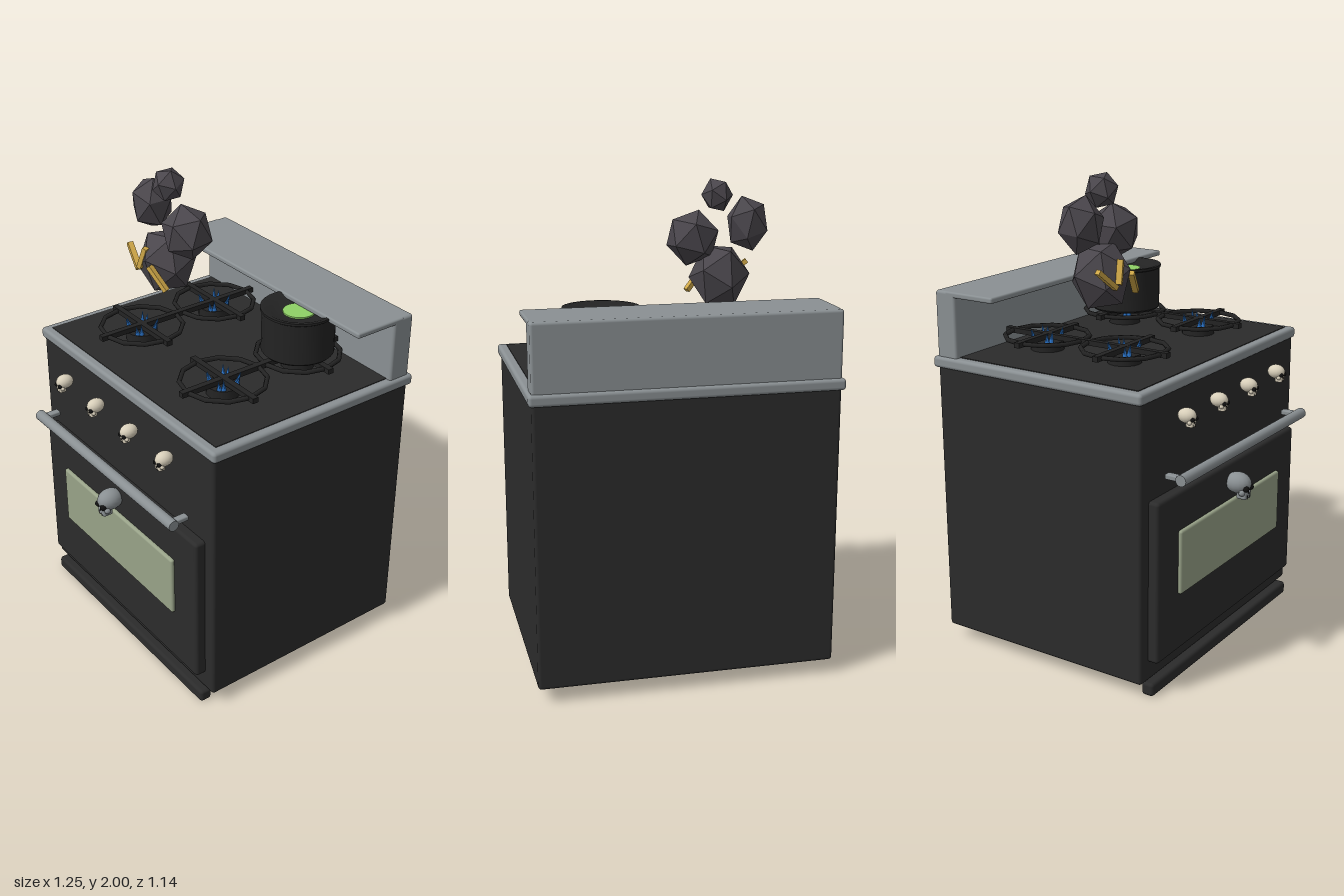
import * as THREE from 'three';
import { toCreasedNormals } from 'three/addons/utils/BufferGeometryUtils.js';
import { RoundedBoxGeometry } from 'three/addons/geometries/RoundedBoxGeometry.js';

const paint = (name, color, extra = {}) => {
  const m = new THREE.MeshStandardMaterial({ color, ...extra });
  m.name = name;
  return m;
};

export function createModel() {
  const black = paint('blackEnamel', 0x2b2b2b);
  const iron = paint('castIron', 0x232323);
  const steel = paint('steel', 0x8a9093);
  const glass = paint('windowGlass', 0x98a288);
  const bone = paint('bone', 0xd8cfba);
  const socket = paint('socketBlack', 0x111111);
  const smoke = paint('smoke', 0x4a464c, { flatShading: true });
  const gold = paint('gold', 0xd0a848);
  const blue = paint('flameBlue', 0x2f7fdc);
  const green = paint('brewGreen', 0x8fd066);

  const root = new THREE.Group();
  root.name = 'stove';

  const add = (parent, name, geo, mat, x = 0, y = 0, z = 0) => {
    const m = new THREE.Mesh(geo, mat);
    m.name = name;
    m.position.set(x, y, z);
    parent.add(m);
    return m;
  };
  const group = (name, x = 0, y = 0, z = 0) => {
    const g = new THREE.Group();
    g.name = name;
    g.position.set(x, y, z);
    root.add(g);
    return g;
  };
  // Rounded box given by its limits on each axis
  const block = (name, mat, [x0, x1], [y0, y1], [z0, z1], r) =>
    add(root, name, new RoundedBoxGeometry(x1 - x0, y1 - y0, z1 - z0, 2, r), mat,
      (x0 + x1) / 2, (y0 + y1) / 2, (z0 + z1) / 2);

  // Cabinet, door and trim
  block('body', black, [-0.613, 0.613], [0.06, 1.225], [-0.55, 0.432], 0.014);
  block('kickPlate', black, [-0.572, 0.572], [0, 0.056], [0.408, 0.462], 0.014);
  block('ovenDoor', black, [-0.56, 0.56], [0.143, 0.82], [0.42, 0.477], 0.014);
  block('ovenWindow', glass, [-0.412, 0.412], [0.39, 0.66], [0.46, 0.492], 0.01);
  block('topSlab', steel, [-0.626, 0.626], [1.213, 1.26], [-0.566, 0.44], 0.014);
  block('backsplash', steel, [-0.613, 0.613], [1.25, 1.532], [-0.55, -0.45], 0.012);
  block('shelf', steel, [-0.613, 0.613], [1.508, 1.532], [-0.5, -0.26], 0.008);
  add(root, 'cooktop', new THREE.BoxGeometry(1.18, 0.006, 0.856), black, 0, 1.26, -0.023);

  // Door handle
  add(root, 'handleBar', new THREE.CylinderGeometry(0.023, 0.023, 1.012, 16), steel, 0, 0.91, 0.54)
    .rotation.z = Math.PI / 2;
  for (const s of [-1, 1])
    block('handleBracket', steel, [s * 0.48 - 0.016, s * 0.48 + 0.016], [0.898, 0.92], [0.462, 0.54], 0.006);

  // Skull knobs and the door ornament
  const skull = (name, mat, x, y, z, s) => {
    const g = group(name, x, y, z);
    g.scale.setScalar(s);
    add(g, 'cranium', new THREE.SphereGeometry(1, 16, 12), mat, 0, 0.2, 0).scale.set(1, 0.98, 1.25);
    add(g, 'jaw', new RoundedBoxGeometry(1.1, 0.8, 1.0, 2, 0.2), mat, 0, -0.78, 0.55);
    for (const e of [-1, 1]) {
      add(g, 'eyeSocket', new THREE.SphereGeometry(0.3, 10, 8), socket, e * 0.42, -0.12, 1.02);
      add(g, 'cheek', new THREE.SphereGeometry(0.3, 8, 6), mat, e * 0.6, -0.5, 0.7);
      add(g, 'toothGap', new THREE.BoxGeometry(0.08, 0.35, 0.05), socket, e * 0.18, -0.95, 1.04);
    }
    add(g, 'noseHole', new THREE.ConeGeometry(0.15, 0.3, 3), socket, 0, -0.48, 1.06);
  };
  for (let i = 0; i < 4; i++) skull('skullKnob', bone, -0.37 + i * 0.245, 1.117, 0.484, 0.031);
  skull('doorSkull', steel, 0, 0.73, 0.512, 0.046);

  // Burners with flames and grates
  const ringGeo = new THREE.TorusGeometry(0.175, 0.01, 6, 12);
  for (const x of [-0.286, 0.286]) for (const z of [0.141, -0.24]) {
    const g = group('burner', x, 1.26, z);
    add(g, 'burnerCap', new THREE.CylinderGeometry(0.066, 0.07, 0.04, 16), iron, 0, 0.02, 0);
    add(g, 'grateRing', ringGeo, iron, 0, 0.06, 0).rotation.x = Math.PI / 2;
    add(g, 'grateBar', new THREE.BoxGeometry(0.41, 0.022, 0.026), iron, 0, 0.06, 0);
    add(g, 'grateBar', new THREE.BoxGeometry(0.026, 0.0215, 0.41), iron, 0, 0.06, 0);
    for (let i = 0; i < 4; i++) for (const [off, h] of [[-0.16, 0.06], [0.16, 0.05]]) {
      const a = Math.PI / 4 + i * Math.PI / 2 + off;
      const f = add(g, 'flame', new THREE.ConeGeometry(0.012, h, 5), blue,
        Math.cos(a) * 0.06, 0.035 + h / 2, Math.sin(a) * 0.06);
      f.rotation.set(Math.sin(a) * 0.3, 0, -Math.cos(a) * 0.3);
    }
  }

  // Pot with a sloping bowl and brew
  const pot = group('pot', 0.286, 1.332, -0.236);
  const profile = [[0, 0], [0.142, 0], [0.15, 0.008], [0.15, 0.18], [0.156, 0.184], [0.156, 0.194],
    [0.142, 0.194], [0.11, 0.178], [0.06, 0.17], [0, 0.17]].map(p => new THREE.Vector2(...p));
  add(pot, 'potShell', toCreasedNormals(new THREE.LatheGeometry(profile, 32), 0.6), iron);
  add(pot, 'brew', new THREE.CylinderGeometry(0.065, 0.065, 0.008, 24), green, 0, 0.173, 0);

  // Angular smoke puffs: centre, radii, turn
  const puffs = [
    [[-0.255, 1.93, 0.015], [0.066, 0.074, 0.07], 0.2],
    [[-0.385, 1.81, 0.008], [0.093, 0.118, 0.095], 0.5],
    [[-0.147, 1.757, 0.002], [0.115, 0.118, 0.105], -0.5],
    [[-0.268, 1.595, 0.018], [0.128, 0.145, 0.132], 0.1],
  ];
  for (const [c, r, turn] of puffs) {
    const geo = new THREE.IcosahedronGeometry(1, 0);
    geo.rotateX(0.3).rotateZ(turn).rotateY(turn * 2);
    add(root, 'smokePuff', geo, smoke, ...c).scale.set(...r);
  }

  // Gold sparks, each a slim bar between two points
  const sparks = [
    [[-0.415, 1.642, 0.105], [-0.32, 1.565, 0.125]],
    [[-0.307, 1.577, 0.13], [-0.277, 1.67, 0.118]],
    [[-0.228, 1.612, 0.135], [-0.15, 1.522, 0.105]],
  ];
  for (const [a, b] of sparks) {
    const p = new THREE.Vector3(...a), q = new THREE.Vector3(...b);
    const m = add(root, 'spark', new THREE.BoxGeometry(0.024, 0.02, p.distanceTo(q)), gold,
      ...p.clone().add(q).multiplyScalar(0.5).toArray());
    m.lookAt(q);
  }
  return root;
}
